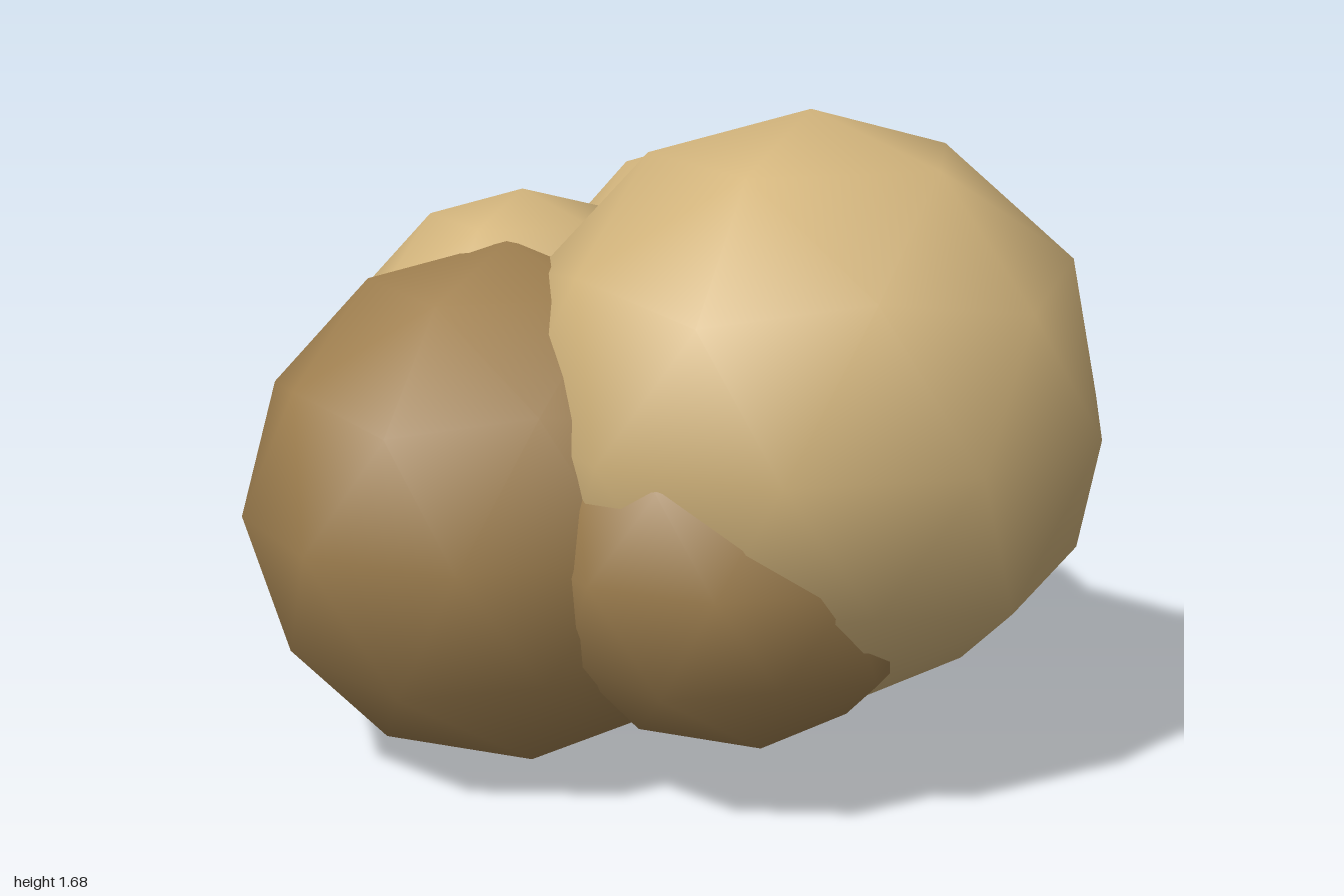
import * as THREE from 'three';

export function createModel() {
  const group = new THREE.Group();
  const tan = new THREE.MeshStandardMaterial({ color: 0xd2b47c });
  const brown = new THREE.MeshStandardMaterial({ color: 0xa08050 });
  tan.name = 'tan';
  brown.name = 'brown';

  // Smooth 80-sided ball with a corner at the pole and an upper-ring corner on +x
  const ball = new THREE.IcosahedronGeometry(1, 1);
  ball.rotateX(-Math.atan((1 + Math.sqrt(5)) / 2));
  ball.rotateY(Math.PI / 2);

  // Overlapping lobes: name, material, centre, radii
  const lobes = [
    ['frontLobe', tan, [0.26, 0.94, 0.21], [0.76, 0.75, 0.75]],
    ['backLeftLobe', tan, [0.42, 0.94, -0.37], [0.6, 0.62, 0.59]],
    ['backUpperLobe', tan, [-0.2, 0.98, -0.44], [0.46, 0.46, 0.46]],
    ['rightLobe', brown, [-0.35, 0.68, -0.23], [0.68, 0.67, 0.65]],
    ['lowerFrontLobe', brown, [0.01, 0.66, 0.29], [0.525, 0.52, 0.52]],
    ['lowerSideLobe', brown, [0.5, 0.65, -0.12], [0.39, 0.385, 0.39]],
  ];
  for (const [name, material, centre, radii] of lobes) {
    const mesh = new THREE.Mesh(ball, material);
    mesh.name = name;
    mesh.position.set(...centre);
    mesh.scale.set(...radii);
    group.add(mesh);
  }
  return group;
}
